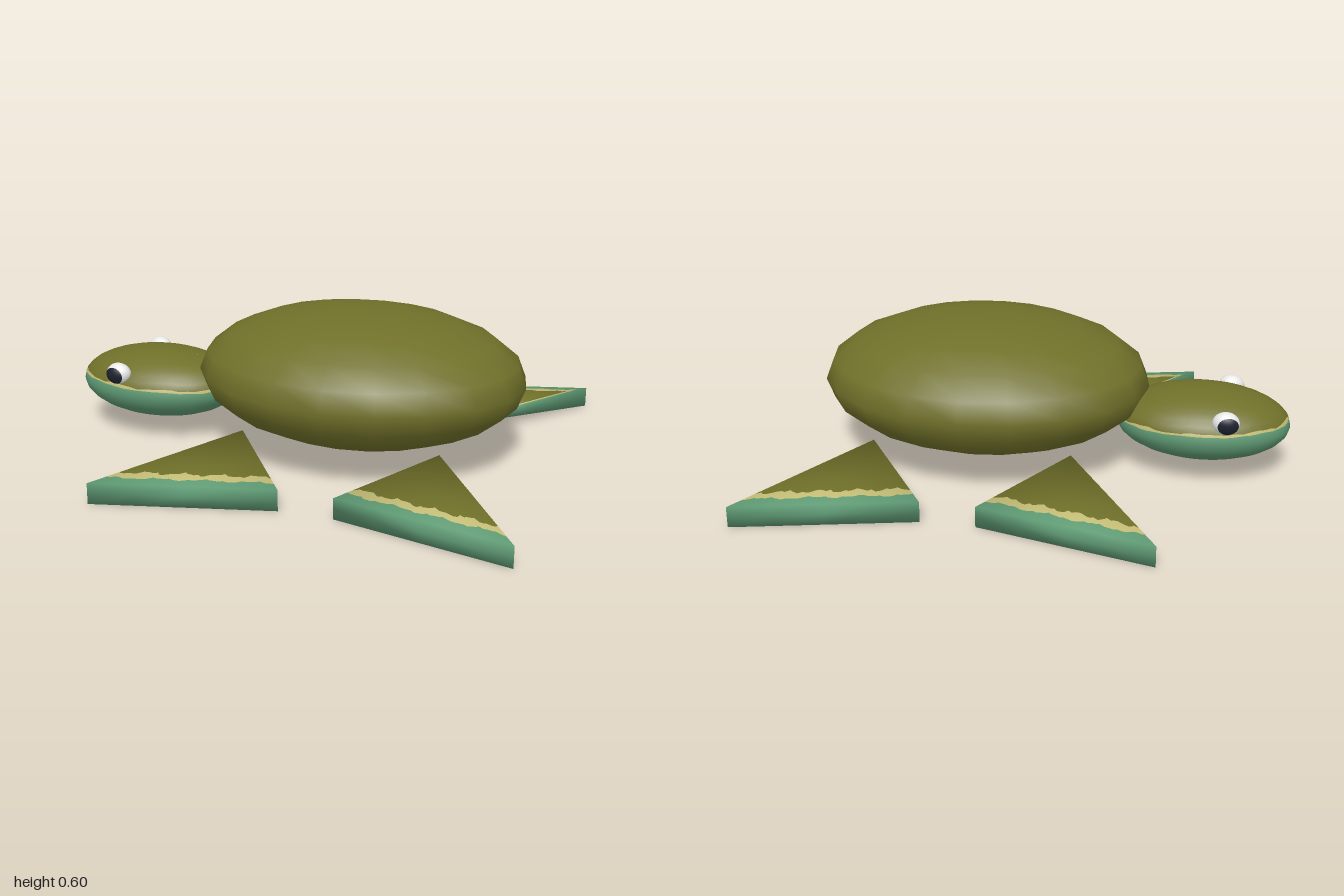
import * as THREE from 'three';

const mat = (name, color) => new THREE.MeshStandardMaterial({ name, color });
const lerp = THREE.MathUtils.lerp;
const clamp = THREE.MathUtils.clamp;

// Small repeatable ripple for the ragged edge between colours
const ripple = (a) => 0.5 * Math.sin(a) + 0.3 * Math.sin(2.7 * a + 1) + 0.2 * Math.sin(5.3 * a + 2);

// Grid surface from f(u, v) -> { p, n }, with triangles turned to follow the normals
function surface(name, material, nu, nv, f) {
  const pos = [], nor = [], idx = [], pts = [];
  for (let i = 0; i <= nu; i++) for (let j = 0; j <= nv; j++) {
    const { p, n } = f(i / nu, j / nv);
    pts.push({ p, n });
    pos.push(...p.toArray());
    nor.push(...n.toArray());
  }
  const face = (a, b, c) => {
    const [A, B, C] = [pts[a], pts[b], pts[c]];
    const fn = B.p.clone().sub(A.p).cross(C.p.clone().sub(A.p));
    if (fn.lengthSq() < 1e-16) return;
    const out = A.n.clone().add(B.n).add(C.n);
    idx.push(...(fn.dot(out) >= 0 ? [a, b, c] : [a, c, b]));
  };
  for (let i = 0; i < nu; i++) for (let j = 0; j < nv; j++) {
    const a = i * (nv + 1) + j, b = a + nv + 1;
    face(a, b, b + 1);
    face(a, b + 1, a + 1);
  }
  const g = new THREE.BufferGeometry();
  g.setAttribute('position', new THREE.Float32BufferAttribute(pos, 3));
  g.setAttribute('normal', new THREE.Float32BufferAttribute(nor, 3));
  g.setIndex(idx);
  const m = new THREE.Mesh(g, material);
  m.name = name;
  return m;
}

export function createModel() {
  const olive = mat('olive skin', 0x70702a);
  const green = mat('green underside', 0x5f9a74);
  const pale = mat('pale edge', 0xc4bd76);
  const white = mat('eye white', 0xeeeeee);
  const dark = mat('pupil dark', 0x1c2230);
  const model = new THREE.Group();
  model.name = 'turtle';

  // Shell
  const shell = new THREE.Mesh(new THREE.SphereGeometry(1, 20, 10), olive);
  shell.name = 'shell';
  shell.scale.set(0.657, 0.265, 0.522);
  shell.position.set(0.215, 0.333, 0);
  model.add(shell);

  // Head: olive crown, ragged pale line, green jaw
  const head = new THREE.Group();
  head.name = 'head';
  const r = new THREE.Vector3(0.343, 0.141, 0.233);
  const headBand = (name, m, rows, from, to) => head.add(surface(name, m, 60, rows, (u, v) => {
    const a = u * Math.PI * 2, t = lerp(from(a), to(a), v);
    const d = new THREE.Vector3(Math.sin(t) * Math.cos(a), Math.cos(t), Math.sin(t) * Math.sin(a));
    return { p: d.clone().multiply(r), n: d.divide(r).normalize() };
  }));
  const upper = (a) => 1.36 + 0.06 * Math.cos(a) + 0.04 * ripple(a * 9);
  const lower = (a) => 1.43 + 0.06 * Math.cos(a) + 0.02 * ripple(a * 7 + 2);
  headBand('headTop', olive, 8, () => 0, upper);
  headBand('headLine', pale, 1, upper, lower);
  headBand('jaw', green, 8, lower, () => Math.PI);
  head.position.set(-0.657, 0.209, 0);
  model.add(head);

  // Eyes, with pupil caps facing outward
  for (const side of [1, -1]) {
    const eye = new THREE.Group();
    eye.name = side > 0 ? 'frontEye' : 'backEye';
    const ball = new THREE.Mesh(new THREE.SphereGeometry(1, 20, 12), white);
    ball.name = 'eyeball';
    const pupil = new THREE.Mesh(new THREE.SphereGeometry(1.03, 20, 6, 0, Math.PI * 2, 0, 0.85), dark);
    pupil.name = 'pupil';
    pupil.quaternion.setFromUnitVectors(new THREE.Vector3(0, 1, 0),
      new THREE.Vector3(-0.28, -0.12, side).normalize());
    eye.add(ball, pupil);
    eye.scale.set(0.053, 0.045, 0.037);
    eye.position.set(-0.757, 0.281, side * 0.197);
    model.add(eye);
  }

  // Flippers: sloping triangular slabs, mirrored across the shell's centre
  const flipper = (name, mx, mz) => {
    const g = new THREE.Group();
    g.name = name;
    const mid = 0.217;
    const corners = [[-0.783, 0.84], [-0.105, 0.67], [-0.394, 0.29]]
      .map(([x, z]) => new THREE.Vector3(mid + x * mx, 0, z * mz));
    const centre = corners[0].clone().add(corners[1]).add(corners[2]).divideScalar(3);
    const outs = corners.map((c) => c.clone().sub(centre).normalize());
    // s runs along the outer edge, t from that edge to the tip, h up the thickness
    const at = (s, t, h) => {
      const w = [(1 - s) * (1 - t), s * (1 - t), t];
      const p = new THREE.Vector3(), n = new THREE.Vector3(0, 2 * h - 1, 0);
      w.forEach((k, i) => {
        p.addScaledVector(corners[i], k);
        n.addScaledVector(outs[i], k);
      });
      p.y = lerp(0.065 * t, 0.082 + 0.058 * t, h);
      return { p, n: n.normalize() };
    };
    const t1 = (s) => 0.11 + 0.025 * ripple(s * 22 + mx);
    const t2 = (s) => 0.2 + 0.035 * ripple(s * 26 + 3 * mz);
    const zero = () => 0, one = () => 1;
    for (const [part, m, from, to] of [['topRim', green, zero, t1], ['topEdge', pale, t1, t2], ['topSkin', olive, t2, one]]) {
      g.add(surface(part, m, 40, 4, (u, v) => at(u, lerp(from(u), to(u), v), 1)));
    }
    g.add(surface('underside', green, 4, 4, (u, v) => at(u, v, 0)));
    g.add(surface('outerFace', green, 4, 2, (u, v) => at(u, 0, v)));
    // Slanting side faces, coloured by height
    for (const s of [0, 1]) {
      const level = (k) => (t) => {
        const y = 0.082 + 0.058 * k(s);
        return clamp((y - 0.065 * t) / (0.082 - 0.007 * t), 0, 1);
      };
      const a = level(t1), b = level(t2);
      for (const [part, m, from, to] of [['sideLow', green, zero, a], ['sideEdge', pale, a, b], ['sideHigh', olive, b, one]]) {
        g.add(surface(part, m, 24, 1, (u, v) => at(s, u, lerp(from(u), to(u), v))));
      }
    }
    // Small pale patch underneath
    g.add(surface('patch', pale, 12, 1, (u, v) => {
      const a = u * Math.PI * 2, k = v * (1 + 0.2 * ripple(3 * a));
      const q = at(0.5 + 0.07 * k * Math.cos(a), 0.27 + 0.06 * k * Math.sin(a), 0);
      q.p.y -= 0.002;
      return q;
    }));
    model.add(g);
  };
  flipper('frontLeftFlipper', 1, 1);
  flipper('frontRightFlipper', 1, -1);
  flipper('rearLeftFlipper', -1, 1);
  flipper('rearRightFlipper', -1, -1);

  return model;
}
